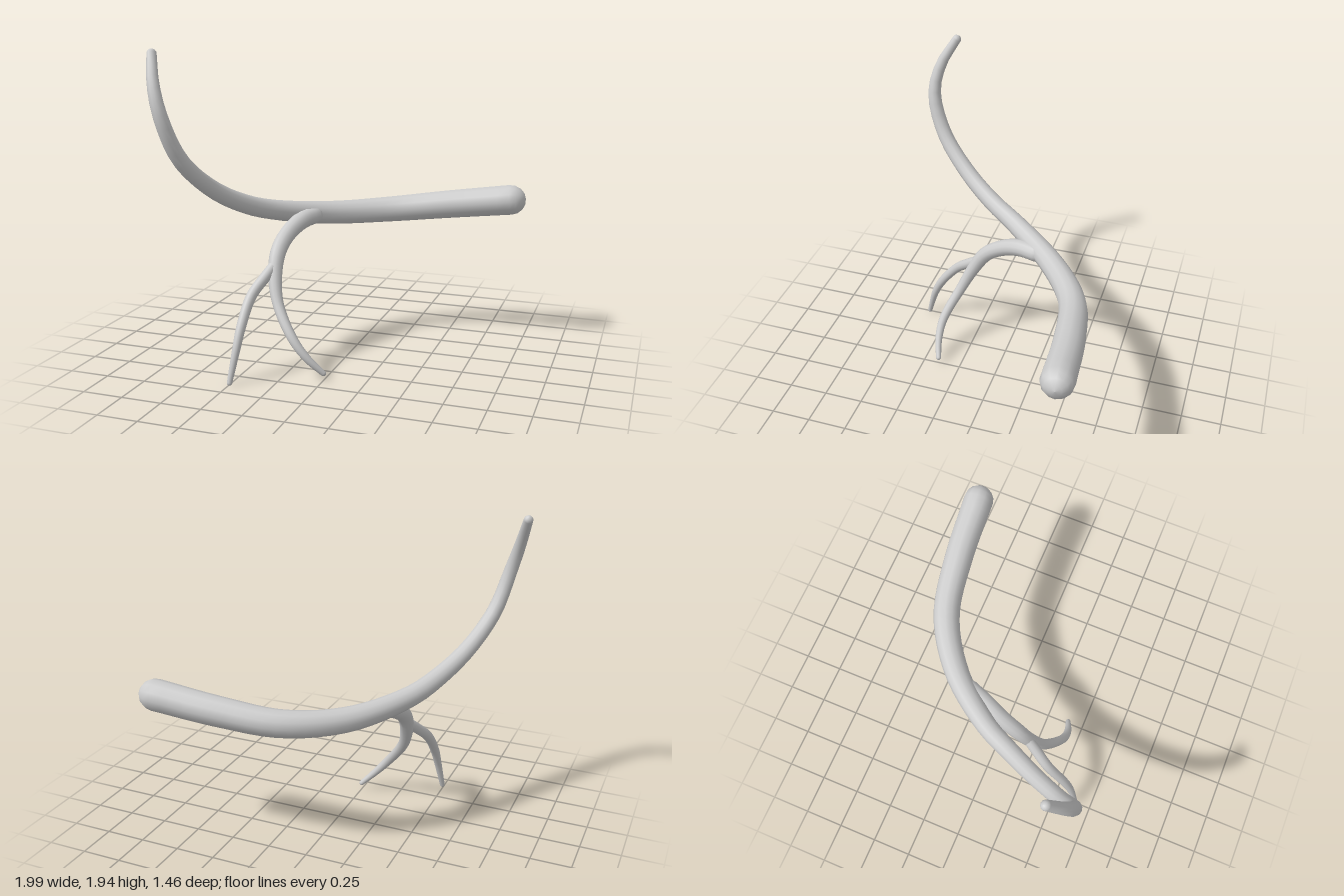
import * as THREE from 'three';

const SIDES = 12;
const CAP_RINGS = 4;

// Tapered limb with rounded ends; each point is [x, y, z, radius]
function limb(name, points, segments, material) {
  const curve = new THREE.CatmullRomCurve3(points.map(([x, y, z]) => new THREE.Vector3(x, y, z)));
  const frames = curve.computeFrenetFrames(segments);
  const radiusAt = (u) => {
    const k = curve.getUtoTmapping(u) * (points.length - 1);
    const i = Math.min(Math.floor(k), points.length - 2);
    return THREE.MathUtils.lerp(points[i][3], points[i + 1][3], k - i);
  };

  // Cross-sections: [frame index, radius, offset along the tangent]
  const rings = [];
  const r0 = radiusAt(0);
  const r1 = radiusAt(1);
  for (let c = CAP_RINGS; c > 0; c--) {
    const a = (c / CAP_RINGS) * Math.PI / 2;
    rings.push([0, r0 * Math.cos(a), -r0 * Math.sin(a)]);
  }
  for (let s = 0; s <= segments; s++) rings.push([s, radiusAt(s / segments), 0]);
  for (let c = 1; c <= CAP_RINGS; c++) {
    const a = (c / CAP_RINGS) * Math.PI / 2;
    rings.push([segments, r1 * Math.cos(a), r1 * Math.sin(a)]);
  }

  const positions = [];
  const index = [];
  rings.forEach(([s, r, offset], i) => {
    const centre = curve.getPointAt(s / segments).addScaledVector(frames.tangents[s], offset);
    for (let j = 0; j < SIDES; j++) {
      const a = (j / SIDES) * Math.PI * 2;
      const p = centre.clone()
        .addScaledVector(frames.normals[s], r * Math.cos(a))
        .addScaledVector(frames.binormals[s], r * Math.sin(a));
      positions.push(p.x, p.y, p.z);
      if (i < rings.length - 1) {
        const a0 = i * SIDES + j;
        const a1 = i * SIDES + (j + 1) % SIDES;
        index.push(a0, a1, a0 + SIDES, a1, a1 + SIDES, a0 + SIDES);
      }
    }
  });

  const geometry = new THREE.BufferGeometry();
  geometry.setAttribute('position', new THREE.Float32BufferAttribute(positions, 3));
  geometry.setIndex(index);
  geometry.computeVertexNormals();
  const mesh = new THREE.Mesh(geometry, material);
  mesh.name = name;
  return mesh;
}

export function createModel() {
  const group = new THREE.Group();
  group.name = 'branch';
  const grey = new THREE.MeshStandardMaterial({ color: 0xcccccc });
  grey.name = 'light grey';

  // Thick limb sweeping forward and curling up to a thin tip
  group.add(limb('mainLimb', [
    [0.903, 0.955, -0.635, 0.097],
    [0.5, 0.905, -0.6, 0.091],
    [0.12, 0.862, -0.52, 0.083],
    [-0.2, 0.862, -0.31, 0.075],
    [-0.46, 0.925, 0, 0.063],
    [-0.57, 0.995, 0.2, 0.058],
    [-0.685, 1.12, 0.41, 0.053],
    [-0.79, 1.32, 0.6, 0.048],
    [-0.856, 1.57, 0.685, 0.042],
    [-0.912, 1.75, 0.655, 0.036],
    [-0.967, 1.915, 0.562, 0.029],
  ], 40, grey));

  // Side limb dropping from the main limb and curving inward
  group.add(limb('sideLimb', [
    [-0.27, 0.865, -0.19, 0.055],
    [-0.31, 0.855, -0.08, 0.056],
    [-0.352, 0.8, 0.05, 0.053],
    [-0.37, 0.71, 0.175, 0.049],
    [-0.36, 0.59, 0.255, 0.043],
    [-0.31, 0.43, 0.335, 0.034],
    [-0.18, 0.245, 0.42, 0.029],
    [-0.09, 0.14, 0.425, 0.024],
    [0, 0.05, 0.397, 0.017],
  ], 32, grey));

  // Small fork reaching forward and down
  group.add(limb('forkLimb', [
    [-0.365, 0.655, 0.22, 0.03],
    [-0.4, 0.585, 0.3, 0.034],
    [-0.45, 0.485, 0.41, 0.032],
    [-0.465, 0.33, 0.53, 0.029],
    [-0.471, 0.22, 0.585, 0.025],
    [-0.494, 0.02, 0.644, 0.016],
  ], 24, grey));

  return group;
}
